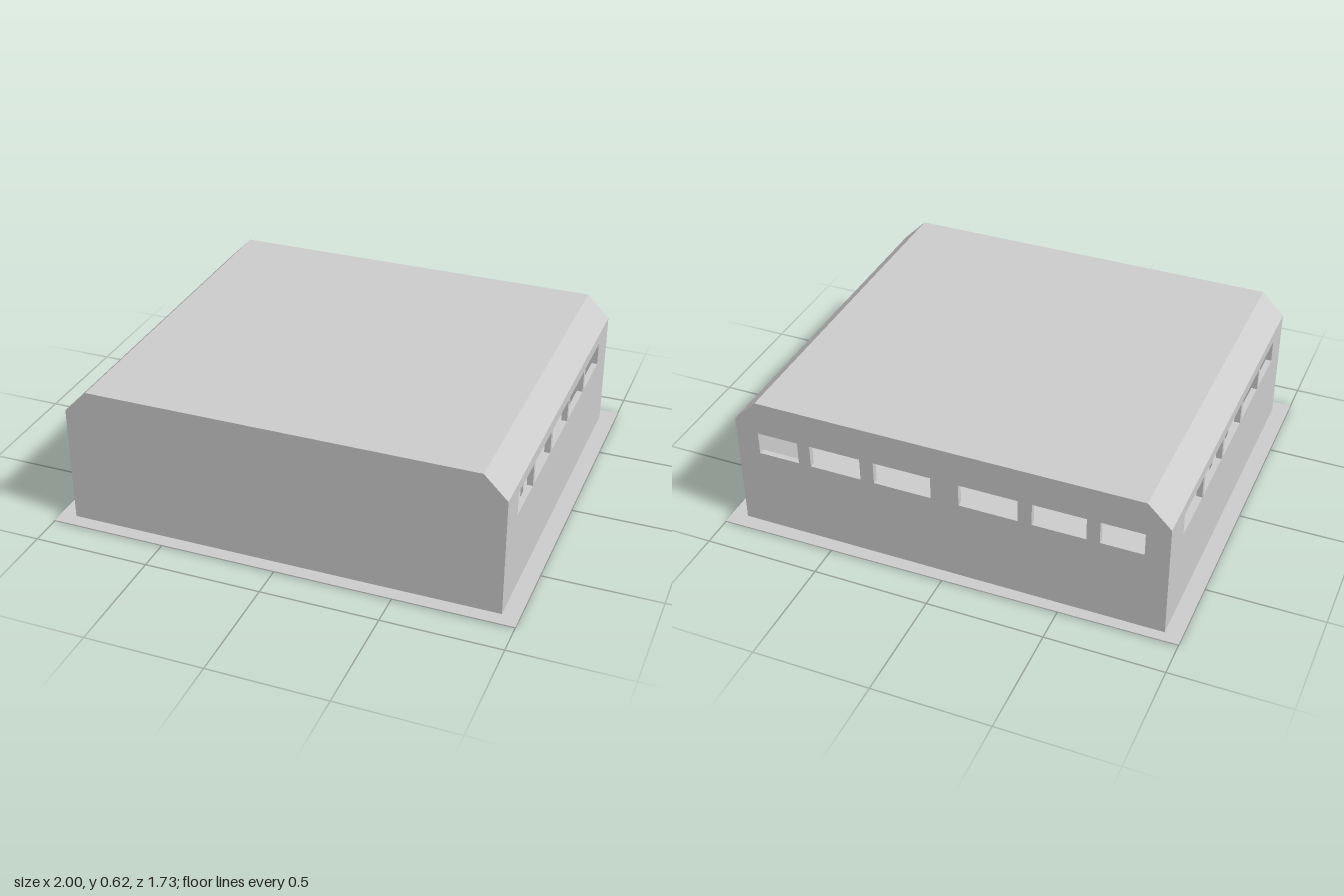
import * as THREE from 'three';

const W = 0.93, D = 0.8, EAVE = 0.52, TOP = 0.62, CUT = 0.1, T = 0.025;
const SILL = 0.37, HEAD = 0.47, FLOOR = 0.005;

const material = new THREE.MeshStandardMaterial({ color: 0xcccccc, flatShading: true, side: THREE.DoubleSide });

function outline(points) {
  return new THREE.Shape(points.map(([x, y]) => new THREE.Vector2(x, y)));
}

// Flat panel with a row of window openings, each given as [start, end]
function panel(points, openings, depth) {
  const shape = outline(points);
  for (const [a, b] of openings) {
    shape.holes.push(outline([[a, SILL], [a, HEAD], [b, HEAD], [b, SILL]]));
  }
  return new THREE.ExtrudeGeometry(shape, { depth, bevelEnabled: false });
}

export function createModel() {
  const group = new THREE.Group();
  const add = (name, geometry, parent = group) => {
    const mesh = new THREE.Mesh(geometry, material);
    mesh.name = name;
    parent.add(mesh);
    return mesh;
  };

  // Thin ground slab, slightly skewed along its back edge
  const slab = panel([[-1, -0.86], [1, -0.86], [1, 0.865], [-1, 0.845]], [], FLOOR);
  add('groundSlab', slab.rotateX(-Math.PI / 2));

  // End walls with chamfered shoulders: blank front, six windows at the back
  const gable = [[-W, FLOOR], [W, FLOOR], [W, EAVE], [W - CUT, TOP], [-W + CUT, TOP], [-W, EAVE]];
  const half = [[0.06, 0.31], [0.37, 0.595], [0.65, 0.83]];
  const backOpenings = [...half, ...half.map(([a, b]) => [-b, -a])];
  add('frontWall', panel(gable, [], T).translate(0, 0, D - T));
  add('backWall', panel(gable, backOpenings, T).translate(0, 0, -D));

  // Side walls with five windows each
  const sideOpenings = [[0.435, 0.652], [0.175, 0.415], [-0.097, 0.148], [-0.365, -0.12], [-0.633, -0.388]];
  const L = D - T;
  const sideOutline = [[-L, FLOOR], [L, FLOOR], [L, EAVE], [-L, EAVE]];
  for (const side of [1, -1]) {
    const wall = panel(sideOutline, sideOpenings, T).rotateY(-Math.PI / 2);
    wall.translate(side > 0 ? W : -W + T, 0, 0);
    add(side > 0 ? 'leftWall' : 'rightWall', wall);
  }

  // Roof shell with sloping shoulders
  const roof = [
    [W, EAVE], [W - CUT, TOP], [-W + CUT, TOP], [-W, EAVE],
    [-W + T, EAVE], [-W + CUT + 0.01, TOP - T], [W - CUT - 0.01, TOP - T], [W - T, EAVE],
  ];
  add('roof', panel(roof, [], 2 * L).translate(0, 0, -L));

  // Open stepped benches along both side walls
  for (const side of [1, -1]) {
    const bench = new THREE.Group();
    bench.name = side > 0 ? 'leftBench' : 'rightBench';
    group.add(bench);
    for (let i = 0; i < 3; i++) {
      const x = side * (0.82 - i * 0.07), y = 0.25 - i * 0.08;
      add('plank', new THREE.BoxGeometry(0.05, 0.012, 0.42).translate(x, y, 0.22), bench);
      for (const z of [0.04, 0.16, 0.29, 0.4]) {
        add('leg', new THREE.BoxGeometry(0.01, y, 0.01).translate(x, y / 2, z), bench);
      }
    }
  }
  return group;
}
